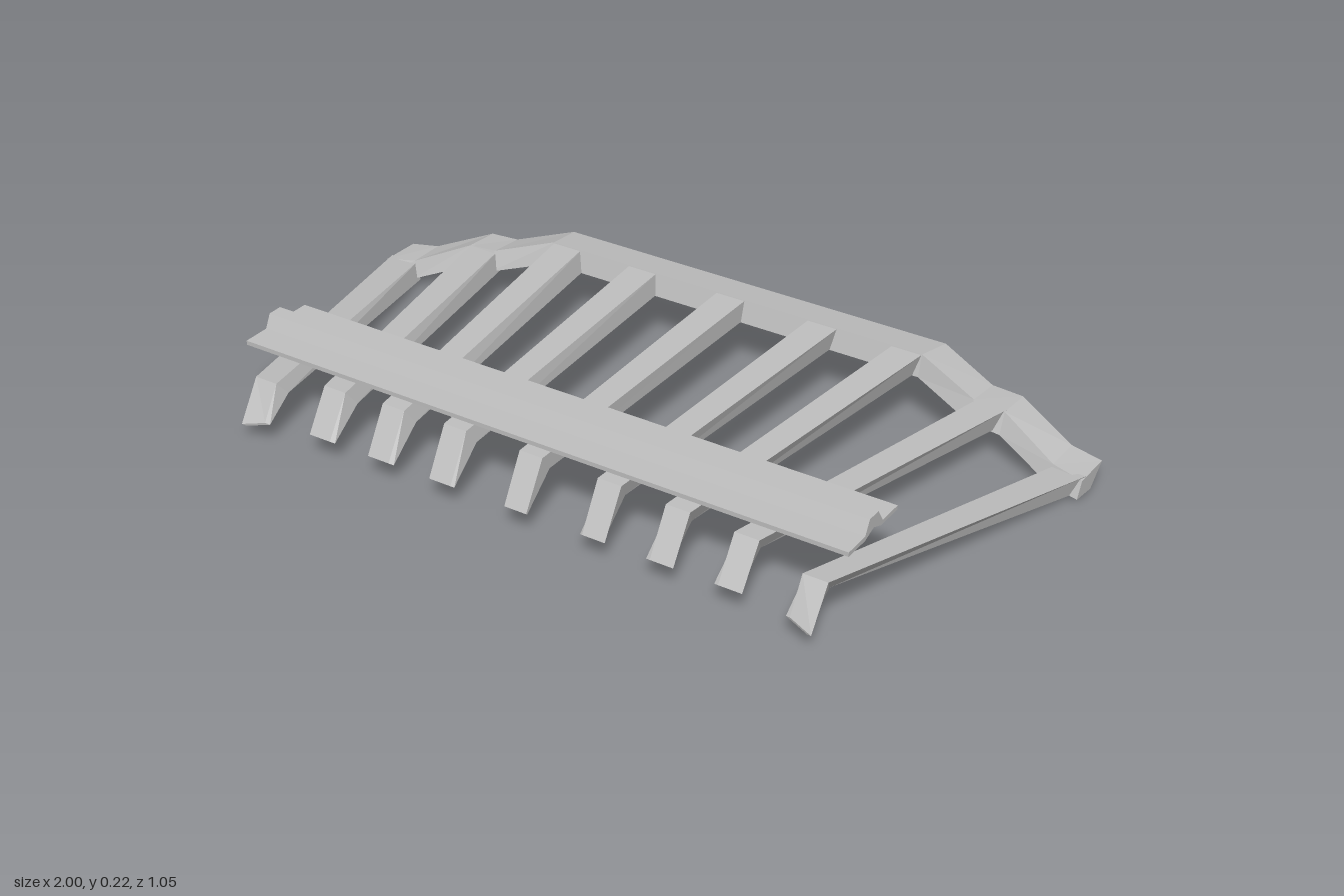
import * as THREE from 'three';

const grey = new THREE.MeshStandardMaterial({ color: 0xc0c0c0 });
grey.name = 'pale grey';

// Closed flat-faced solid through four-cornered cross-sections
function loft(sections, name) {
  const pos = [];
  const quad = (a, b, c, d) => pos.push(...a, ...b, ...c, ...a, ...c, ...d);
  for (let i = 0; i < sections.length - 1; i++) {
    const s = sections[i], t = sections[i + 1];
    for (let j = 0; j < 4; j++) {
      const k = (j + 1) % 4;
      quad(s[j], t[j], t[k], s[k]);
    }
  }
  quad(...sections[0]);
  quad(...[...sections[sections.length - 1]].reverse());
  const geo = new THREE.BufferGeometry();
  geo.setAttribute('position', new THREE.Float32BufferAttribute(pos, 3));
  geo.computeVertexNormals();
  const mesh = new THREE.Mesh(geo, grey);
  mesh.name = name;
  return mesh;
}

// Rear beam, stepping down and forward toward both ends.
// Each station: inner x, outer x, then [y, z] of top inner, top outer, bottom outer, bottom inner
function rearBeam() {
  const stations = [
    [0.53, 0.54, [0.187, -0.42], [0.17, -0.525], [0.13, -0.465], [0.132, -0.405]],
    [0.69, 0.69, [0.135, -0.38], [0.125, -0.48], [0.08, -0.43], [0.083, -0.36]],
    [0.77, 0.77, [0.128, -0.38], [0.12, -0.48], [0.07, -0.425], [0.075, -0.36]],
    [0.92, 0.92, [0.06, -0.335], [0.06, -0.435], [0.006, -0.38], [0.012, -0.32]],
    [1, 1, [0.05, -0.32], [0.047, -0.43], [0, -0.375], [0.01, -0.3]],
  ];
  const ring = (s, side) => s.slice(2).map(([y, z], j) =>
    [side * (j === 1 || j === 2 ? s[1] : s[0]), y, z]);
  const left = stations.map((s) => ring(s, 1));
  const right = stations.map((s) => ring(s, -1)).reverse();
  return loft([...right, ...left], 'rearBeam');
}

// Slanted rib ending in a sharp downturned hook
function rib(r, side) {
  const lean = side === 0 ? 0 : r.lean;
  const s = side || 1;
  const ring = (x, w, yt, zt, yb, zb, skew = 0) => {
    const pts = [
      [x - w, yt + skew, zt - skew],
      [x + w, yt, zt],
      [x + w - lean, yb, zb],
      [x - w - lean, yb + skew, zb - skew],
    ].map(([px, y, z]) => [s * px, y, z]);
    return s < 0 ? pts.reverse() : pts;
  };
  return loft([
    ring(r.rear, 0.04, r.rearTop, r.rearZ, r.rearBottom, r.rearZ),
    ring(r.front, 0.031, r.frontTop, r.bendZ, r.frontBottom, r.bendZ - 0.027),
    ring(r.front, 0.03, r.tipY + 0.003, r.tipZ, r.tipY, r.tipZ - 0.004, r.skew),
  ], 'rib');
}

// Ridged crossbar lying over the ribs, slightly offset to one side
function crossbar() {
  const profile = [
    [0.403, 0.175], [0.403, 0.186], [0.332, 0.186], [0.315, 0.22], [0.277, 0.22],
    [0.255, 0.186], [0.188, 0.186], [0.188, 0.176], [0.262, 0.176], [0.295, 0.189],
    [0.332, 0.175],
  ];
  const shape = new THREE.Shape(profile.map(([z, y]) => new THREE.Vector2(-z, y)));
  const geo = new THREE.ExtrudeGeometry(shape, { depth: 1.64, bevelEnabled: false });
  geo.rotateY(Math.PI / 2).translate(-0.85, 0, 0);
  const mesh = new THREE.Mesh(geo, grey);
  mesh.name = 'crossbar';
  return mesh;
}

export function createModel() {
  const model = new THREE.Group();
  model.name = 'ribbedGrille';
  model.add(rearBeam(), crossbar());

  const base = {
    rearZ: -0.43, rearTop: 0.185, rearBottom: 0.133, frontTop: 0.171, frontBottom: 0.131,
    bendZ: 0.43, tipY: 0.055, tipZ: 0.495, lean: 0.008, skew: 0,
  };
  const ribs = [
    { rear: 0, front: 0 },
    { rear: 0.26, front: 0.21 },
    { rear: 0.49, front: 0.387, frontTop: 0.166, frontBottom: 0.127, lean: 0.012 },
    { rear: 0.73, front: 0.56, rearZ: -0.39, rearTop: 0.128, rearBottom: 0.08,
      frontTop: 0.158, frontBottom: 0.12, lean: 0.012 },
    { rear: 0.96, front: 0.745, rearZ: -0.34, rearTop: 0.052, rearBottom: 0.006,
      frontTop: 0.138, frontBottom: 0.105, bendZ: 0.46, tipY: 0.037, tipZ: 0.524,
      lean: 0.012, skew: 0.015 },
  ];
  ribs.forEach((r, i) => {
    const sides = i === 0 ? [0] : [1, -1];
    sides.forEach((side) => model.add(rib({ ...base, ...r }, side)));
  });
  return model;
}
